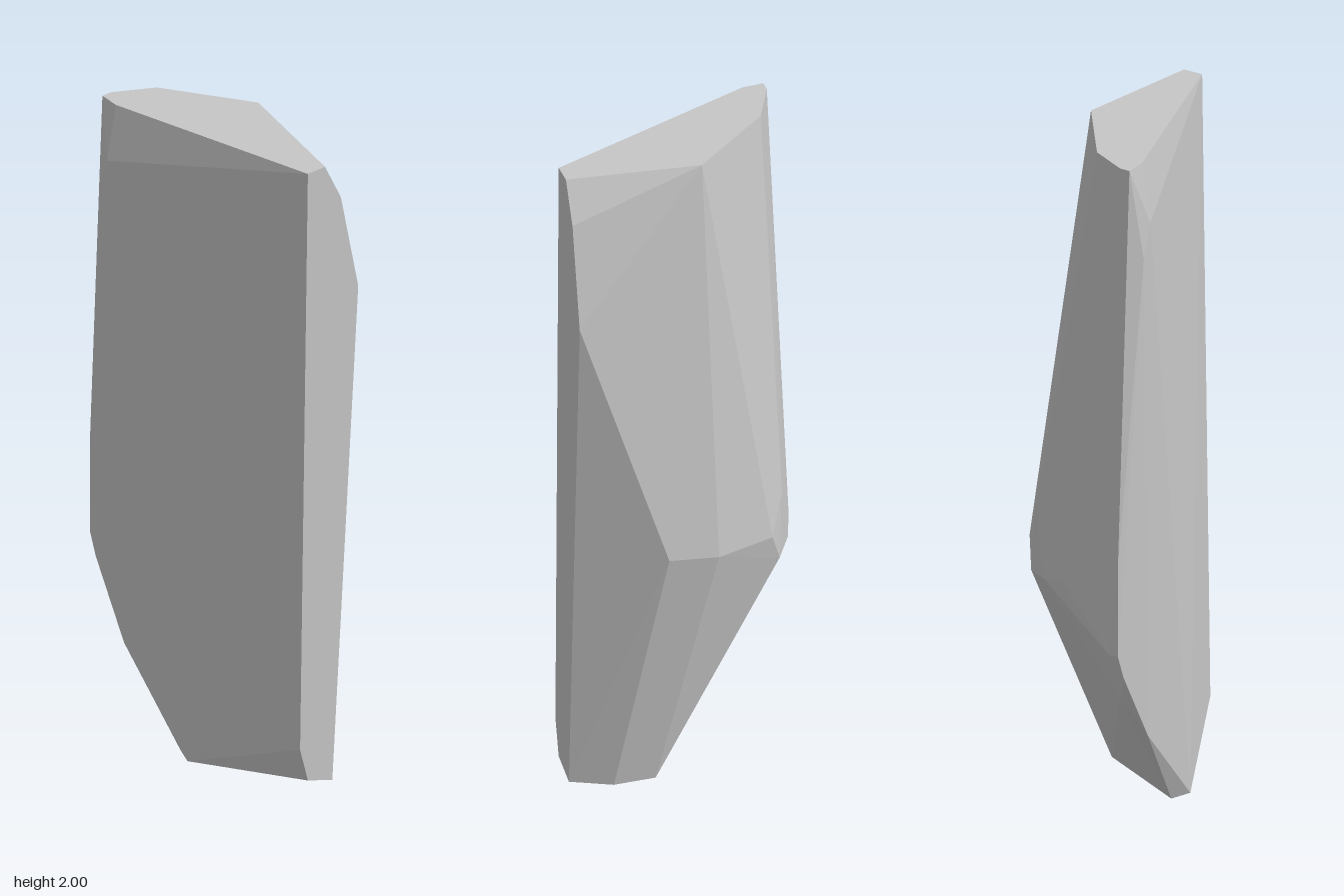
import * as THREE from 'three';
import { ConvexGeometry } from 'three/addons/geometries/ConvexGeometry.js';

// Corners of the faceted stone, grouped by region, as [x, y, z]
const topRim = [
  [-0.015, 2, -0.103], [0.362, 2, -0.045], [0.362, 2, 0.015],
  [-0.245, 2, 0.215], [-0.305, 2, 0.215], [-0.305, 2, 0.185], [-0.247, 2, 0.07],
];
const flatSide = [
  [0.362, 1.88, -0.1], [0.362, 1.57, -0.16],
  [0.362, 0.03, 0.015], [0.362, 0.14, 0.042],
];
const frontLeftEdge = [
  [-0.245, 1.83, 0.245], [-0.278, 1.73, 0.245],
  [-0.362, 0.84, 0.215], [-0.362, 0.56, 0.185], [-0.362, 0.56, 0.215],
  [-0.335, 0.49, 0.215], [-0.305, 0.41, 0.185], [-0.21, 0.27, 0.213],
];
const backBulge = [
  [0.13, 0.8, -0.245], [-0.015, 0.78, -0.245], [-0.19, 0.77, -0.19],
  [-0.235, 0.88, -0.14], [-0.22, 0.68, -0.165], [-0.27, 0.69, -0.09],
  [-0.3, 0.71, -0.01],
];
const foot = [
  [0.362, 0, -0.07], [0.25, 0, -0.125], [0.13, 0, -0.13],
  [-0.02, 0, 0.165], [0.042, 0, 0.187],
];

export function createModel() {
  const group = new THREE.Group();
  group.name = 'standingStone';

  const stoneGrey = new THREE.MeshStandardMaterial({ color: 0xc6c6c6 });
  stoneGrey.name = 'stoneGrey';

  // One convex block with flat facets
  const corners = [...topRim, ...flatSide, ...frontLeftEdge, ...backBulge, ...foot]
    .map((p) => new THREE.Vector3(...p));
  const stone = new THREE.Mesh(new ConvexGeometry(corners), stoneGrey);
  stone.name = 'stone';
  group.add(stone);

  return group;
}
